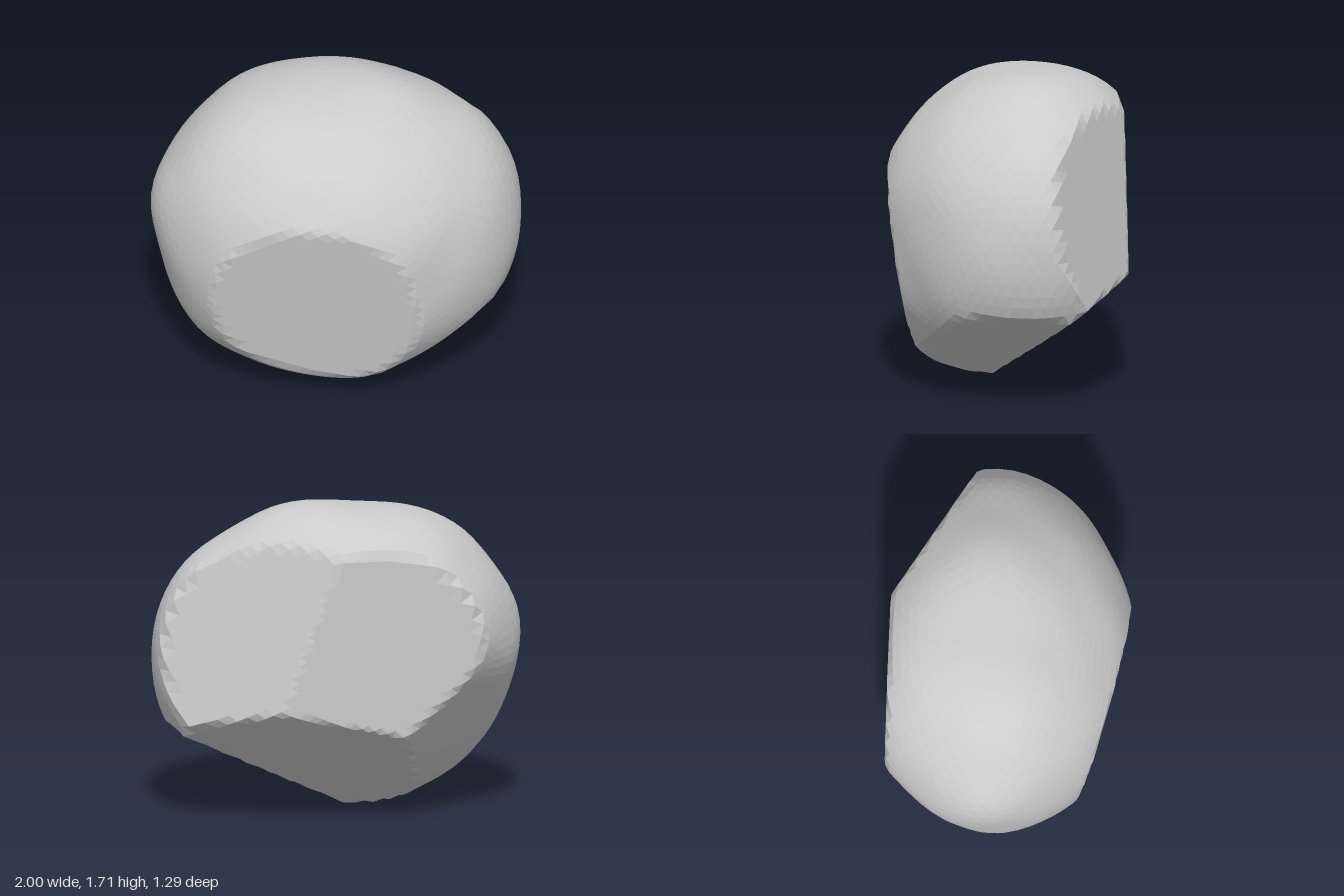
import * as THREE from 'three';

const CENTER = new THREE.Vector3(0, 0.85, -0.1);
const RADII = new THREE.Vector3(1.0, 0.87, 0.8);

// A plane normal . p = limit, with the rock on the inner side
const plane = ([x, y, z, limit]) =>
  new THREE.Plane(new THREE.Vector3(x, y, z), -limit).normalize();

// Flat chipped faces
const CUTS = [
  [-0.19, -0.17, 1, 0.4275],      // front
  [0, 0, -1, 0.645],              // back
  [0.59, 0.21, -1, 1.015],        // back, left flank
  [0.53, -1, 0.1, -0.048],        // underside, left
  [0.219, -1, -0.762, -0.075],    // underside, back
].map(plane);

// Worn, rounded flank at the lower back right
const WORN = plane([-0.49, -0.56, -0.66, 0.28]);

// Gentle swellings and dents: direction and relative amount
const BUMPS = [
  [-0.58, 0.72, 0.13, 0.05],      // upper right shoulder
  [-0.15, 0.87, 0, -0.03],        // saddle beside the crown
  [0.26, 0.84, -0.05, 0.035],     // crown
  [-0.1, 0.78, -0.42, 0.02],      // back of the crown
  [-0.4, 0.66, -0.42, 0.05],      // back, upper right
  [-0.6, 0.35, -0.55, 0.025],     // back, right rim
  [0, 0.69, 0.45, -0.025],        // brow
  [0.5, 0.73, 0.1, -0.015],       // slope left of the crown
  [0.87, 0.5, 0, 0.04],           // left shoulder
  [0.5, 0, 0.65, -0.035],         // front left cheek
  [0.8, -0.25, 0.4, 0.015],       // left haunch
  [-0.95, 0.18, 0, 0.04],         // right tip
  [-0.95, -0.2, 0.05, -0.04],     // hollow below the tip
  [-0.88, 0, 0.35, -0.03],
  [-0.9, 0, -0.35, -0.02],
  [-0.75, -0.6, 0.1, 0.03],       // lower right haunch
  [-0.4, -0.74, 0, -0.045],       // underside, right
  [0.15, -0.62, 0.6, 0.04],       // lower front lip
].map(([x, y, z, amount]) => ({ dir: new THREE.Vector3(x, y, z).normalize(), amount }));

// Distance from the centre to a plane along a unit direction
function reach(cut, dir) {
  const facing = cut.normal.dot(dir);
  return facing > 1e-6 ? -cut.distanceToPoint(CENTER) / facing : Infinity;
}

// Distance from the centre to the surface along a unit direction
function surfaceRadius(dir) {
  let swell = 1 + 0.006 * Math.sin(9 * dir.x + 1) * Math.sin(10 * dir.y + 2) * Math.cos(8 * dir.z);
  for (const b of BUMPS) swell += b.amount * Math.exp(15 * (dir.dot(b.dir) - 1));
  const dome = swell / dir.clone().divide(RADII).length();
  const rounded = dome / (1 + (dome / reach(WORN, dir)) ** 16) ** (1 / 16);
  return Math.min(rounded, ...CUTS.map((cut) => reach(cut, dir)));
}

export function createModel() {
  const group = new THREE.Group();
  group.name = 'rock';

  // Boulder: a faceted ball pushed out to the rock surface
  const geometry = new THREE.IcosahedronGeometry(1, 16);
  const position = geometry.attributes.position;
  const p = new THREE.Vector3();
  for (let i = 0; i < position.count; i++) {
    p.fromBufferAttribute(position, i).normalize();
    p.multiplyScalar(surfaceRadius(p)).add(CENTER);
    position.setXYZ(i, p.x, p.y, p.z);
  }

  // Rest the lowest point on the ground
  geometry.computeBoundingBox();
  geometry.translate(0, -geometry.boundingBox.min.y, 0);
  geometry.computeVertexNormals();

  const material = new THREE.MeshStandardMaterial({ color: 0xcccccc, flatShading: true });
  const boulder = new THREE.Mesh(geometry, material);
  boulder.name = 'boulder';
  group.add(boulder);
  return group;
}
